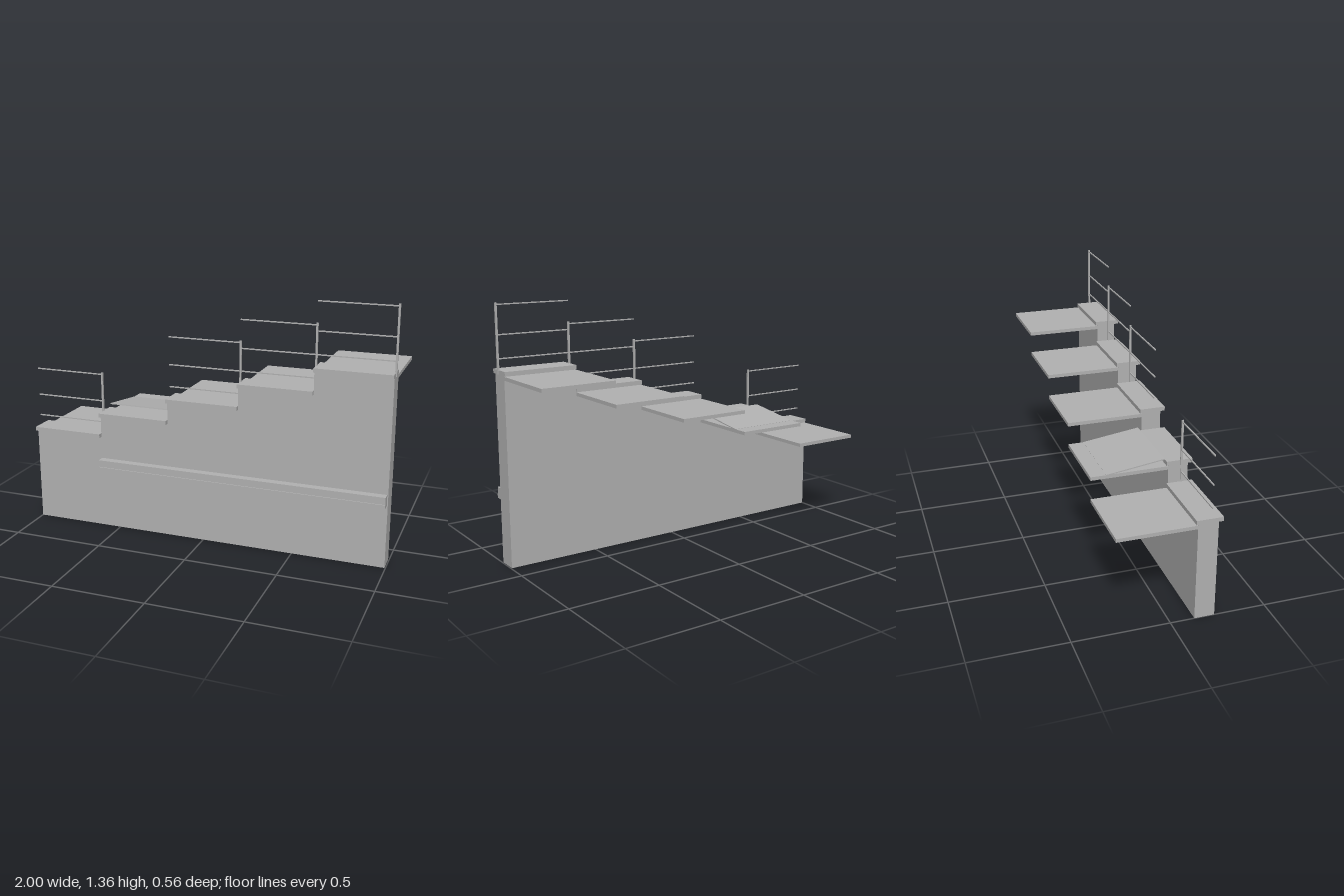
import * as THREE from 'three';

const STEPS = 5;
const X0 = -1;            // low end of the wall
const RUN = 0.399;        // width of one step
const RISE = 0.12;        // height gained per step
const WALL_TOP = 0.522;   // wall height under the lowest coping
const RAIL_Z = 0.195;

export function createModel() {
  const group = new THREE.Group();
  const concrete = new THREE.MeshStandardMaterial({ color: 0xb2b2b2 });
  concrete.name = 'concrete grey';

  // Box given by its limits on each axis
  function box(name, [x0, x1], [y0, y1], [z0, z1]) {
    const mesh = new THREE.Mesh(new THREE.BoxGeometry(x1 - x0, y1 - y0, z1 - z0), concrete);
    mesh.position.set((x0 + x1) / 2, (y0 + y1) / 2, (z0 + z1) / 2);
    mesh.name = name;
    group.add(mesh);
    return mesh;
  }

  // Stepped wall
  const outline = new THREE.Shape();
  outline.moveTo(X0, 0);
  for (let i = 0; i < STEPS; i++) {
    outline.lineTo(X0 + i * RUN, WALL_TOP + i * RISE);
    outline.lineTo(X0 + (i + 1) * RUN, WALL_TOP + i * RISE);
  }
  outline.lineTo(X0 + STEPS * RUN, 0);
  const wall = new THREE.Mesh(
    new THREE.ExtrudeGeometry(outline, { depth: 0.105, bevelEnabled: false }), concrete);
  wall.position.z = 0.125;
  wall.name = 'wall';
  group.add(wall);

  for (let i = 0; i < STEPS; i++) {
    const x = [X0 + i * RUN, X0 + (i + 1) * RUN];
    const y = WALL_TOP + i * RISE;

    // Coping on the wall and the landing slab behind it
    box('coping', x, [y, y + 0.022], [0.117, 0.255]);
    box('landing', x, [y - 0.022, y - 0.003], [-0.28, 0.125]);

    if (i === 1) {
      // Hinged panel, raised at its front edge
      const low = new THREE.Vector2(-0.2, y - 0.005);
      const high = new THREE.Vector2(0.105, y + 0.038);
      const length = low.distanceTo(high);
      const panel = box('tiltedPanel', x, [0, 0.006], [0, length]);
      panel.position.y = (low.y + high.y) / 2;
      panel.position.z = (low.x + high.x) / 2;
      panel.rotation.x = -Math.atan2(high.y - low.y, high.x - low.x);
      continue;
    }

    // Railing: one post at the high end and three bars
    box('railPost', [x[1] - 0.005, x[1] + 0.005], [y, y + 0.358], [RAIL_Z - 0.005, RAIL_Z + 0.005]);
    for (const h of [0.078, 0.198, 0.348]) {
      box('railBar', x, [y + h - 0.003, y + h + 0.003], [RAIL_Z - 0.003, RAIL_Z + 0.003]);
    }
  }

  // Ledge along the front with a narrow lip
  const ledgeX = [X0 + RUN, X0 + STEPS * RUN - 0.005];
  box('ledge', ledgeX, [0.34, 0.4], [0.225, 0.273]);
  box('ledgeLip', ledgeX, [0.351, 0.362], [0.27, 0.279]);

  return group;
}
